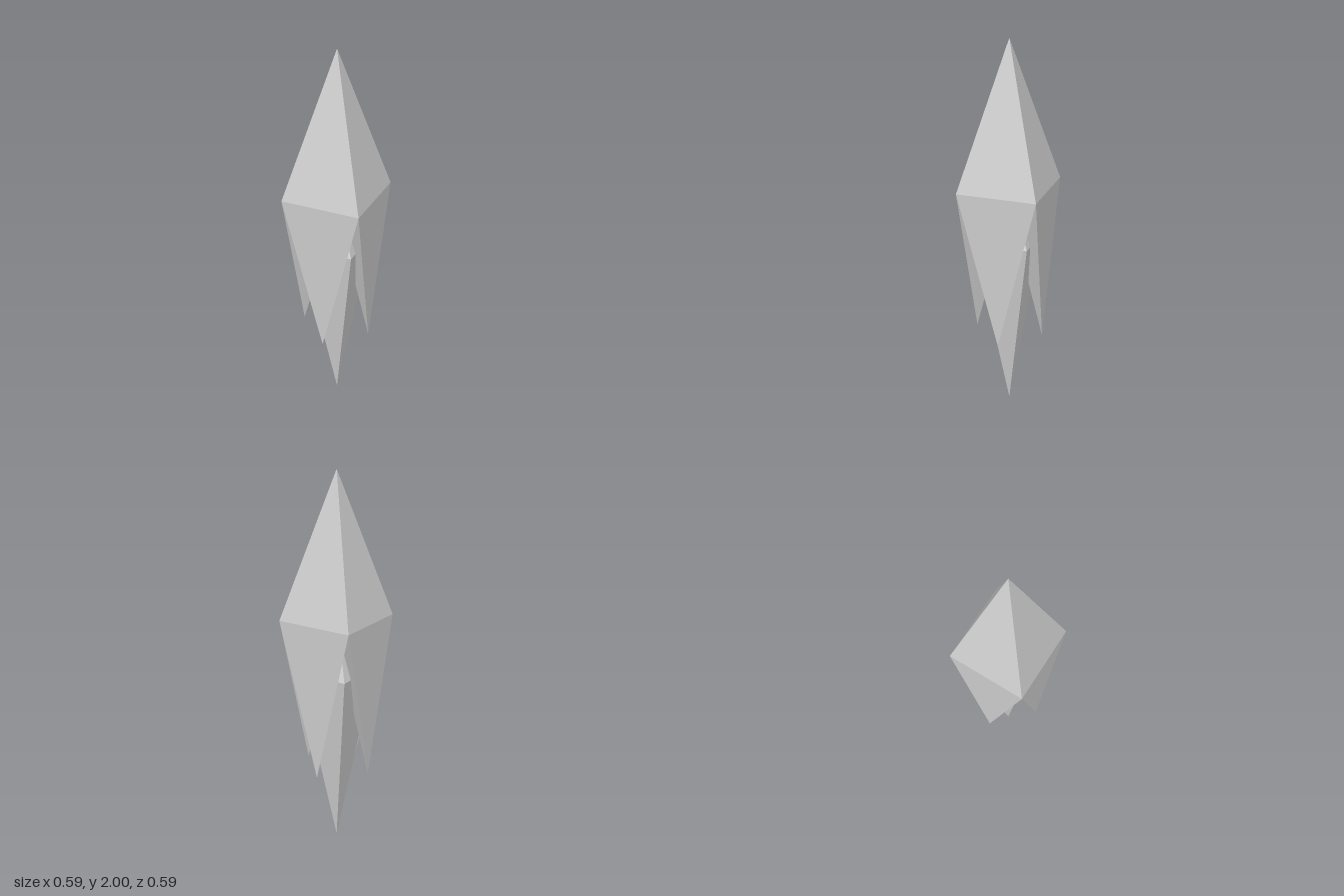
import * as THREE from 'three';
import { ConvexGeometry } from 'three/addons/geometries/ConvexGeometry.js';

const RADIUS = 0.293, WAIST = 1.255, TOP = 2;
const CORE_RADIUS = 0.2, CORE_WAIST = 0.97, CORE_TOP = 1.3;

export function createModel() {
  const model = new THREE.Group();
  const material = new THREE.MeshStandardMaterial({
    color: 0xcccccc, flatShading: true, side: THREE.DoubleSide,
  });

  const add = (name, geometry) => {
    const mesh = new THREE.Mesh(geometry, material);
    mesh.name = name;
    model.add(mesh);
  };

  // Four-sided pyramid with corners on the axes, pointing up or down
  const pyramid = (radius, baseY, apexY) => {
    const height = Math.abs(apexY - baseY);
    const geometry = new THREE.ConeGeometry(radius, height, 4, 1, true);
    if (apexY < baseY) geometry.rotateX(Math.PI);
    return geometry.translate(0, (baseY + apexY) / 2, 0);
  };

  // Upper point of the crystal
  add('crystalCap', pyramid(RADIUS, WAIST, TOP));

  // Inner crystal
  add('coreTop', pyramid(CORE_RADIUS, CORE_WAIST, CORE_TOP));
  add('coreBottom', pyramid(CORE_RADIUS, CORE_WAIST, 0));

  // Four hanging shards, each a wedge meeting the others on the axis
  for (const sx of [1, -1]) {
    for (const sz of [1, -1]) {
      const tip = sx < 0 && sz < 0 ? 0.14 : 0.131;
      add(`${sz > 0 ? 'front' : 'back'}${sx > 0 ? 'Left' : 'Right'}Shard`, new ConvexGeometry([
        new THREE.Vector3(sx * RADIUS, WAIST, 0),
        new THREE.Vector3(0, WAIST, sz * RADIUS),
        new THREE.Vector3(0, 1.13, 0),
        new THREE.Vector3(sx * tip, 0.425, sz * tip),
      ]));
    }
  }
  return model;
}
